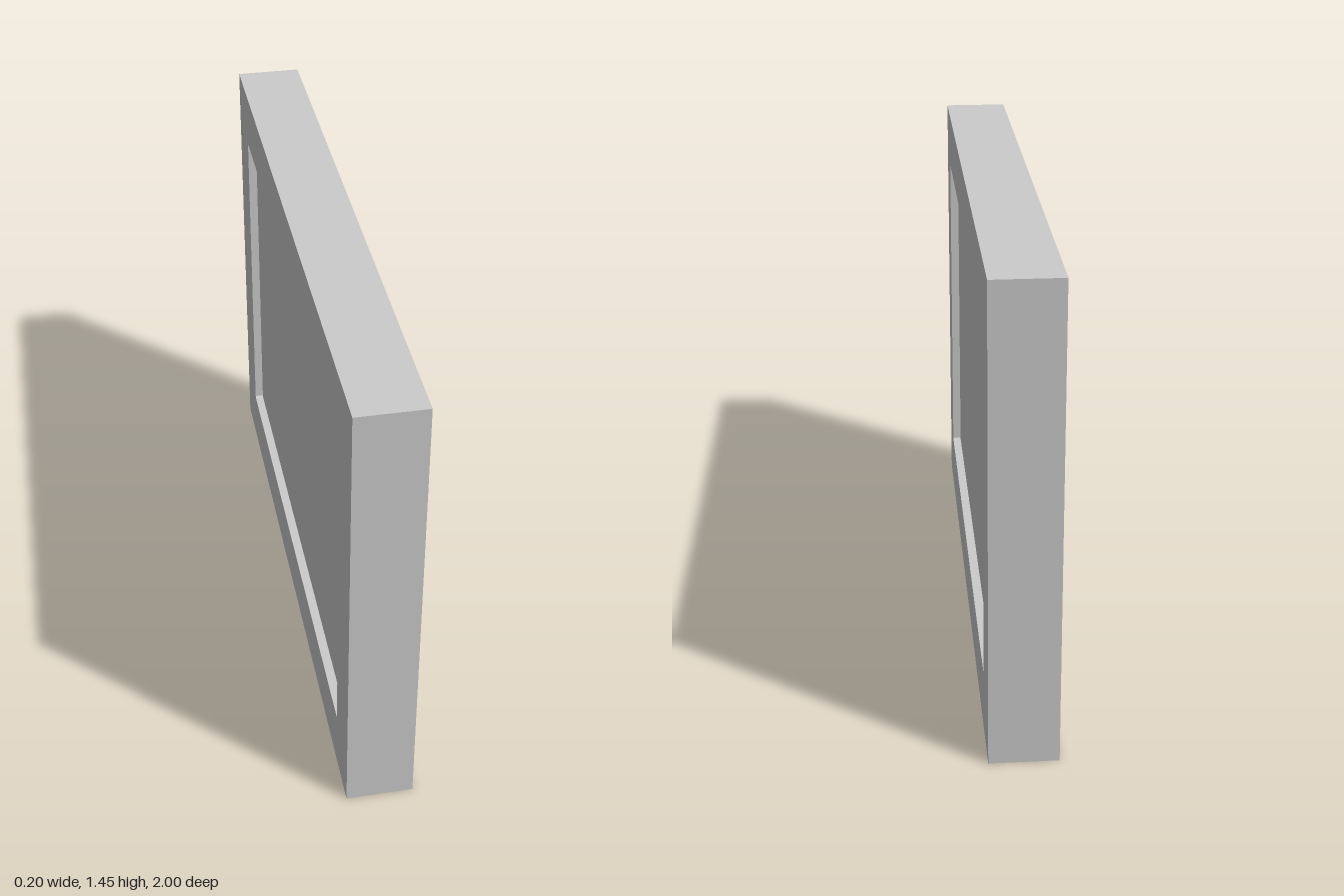
import * as THREE from 'three';

const HEIGHT = 1.454, LENGTH = 2, THICK = 0.205, RECESS = 0.028;
// opening in the frame, measured along the length (u = -z) and height
const OPEN = { u0: -0.84, u1: 0.823, y0: 0.185, y1: 1.276, r: 0.008 };

function roundedRect(path, { u0, u1, y0, y1, r }) {
  path.moveTo(u0 + r, y0);
  path.lineTo(u1 - r, y0);
  path.absarc(u1 - r, y0 + r, r, -Math.PI / 2, 0);
  path.lineTo(u1, y1 - r);
  path.absarc(u1 - r, y1 - r, r, 0, Math.PI / 2);
  path.lineTo(u0 + r, y1);
  path.absarc(u0 + r, y1 - r, r, Math.PI / 2, Math.PI);
  path.lineTo(u0, y0 + r);
  path.absarc(u0 + r, y0 + r, r, Math.PI, Math.PI * 1.5);
  return path;
}

export function createModel() {
  const group = new THREE.Group();
  group.name = 'framedPanel';
  const material = new THREE.MeshStandardMaterial({ color: 0xcccccc });

  // outer frame with a rectangular opening
  const h = LENGTH / 2;
  const outline = new THREE.Shape([
    new THREE.Vector2(-h, 0), new THREE.Vector2(h, 0),
    new THREE.Vector2(h, HEIGHT), new THREE.Vector2(-h, HEIGHT),
  ]);
  outline.holes.push(roundedRect(new THREE.Path(), OPEN));
  const frameGeometry = new THREE.ExtrudeGeometry(outline, { depth: THICK, bevelEnabled: false, curveSegments: 4 });
  frameGeometry.translate(0, 0, -THICK / 2).rotateY(Math.PI / 2);
  const frame = new THREE.Mesh(frameGeometry, material);
  frame.name = 'frame';
  group.add(frame);

  // inner panel, sunk below both faces of the frame
  const panelShape = roundedRect(new THREE.Shape(), OPEN);
  const depth = THICK - 2 * RECESS;
  const panelGeometry = new THREE.ExtrudeGeometry(panelShape, { depth, bevelEnabled: false, curveSegments: 4 });
  panelGeometry.translate(0, 0, -depth / 2).rotateY(Math.PI / 2);
  const panel = new THREE.Mesh(panelGeometry, material);
  panel.name = 'recessedPanel';
  group.add(panel);

  return group;
}
